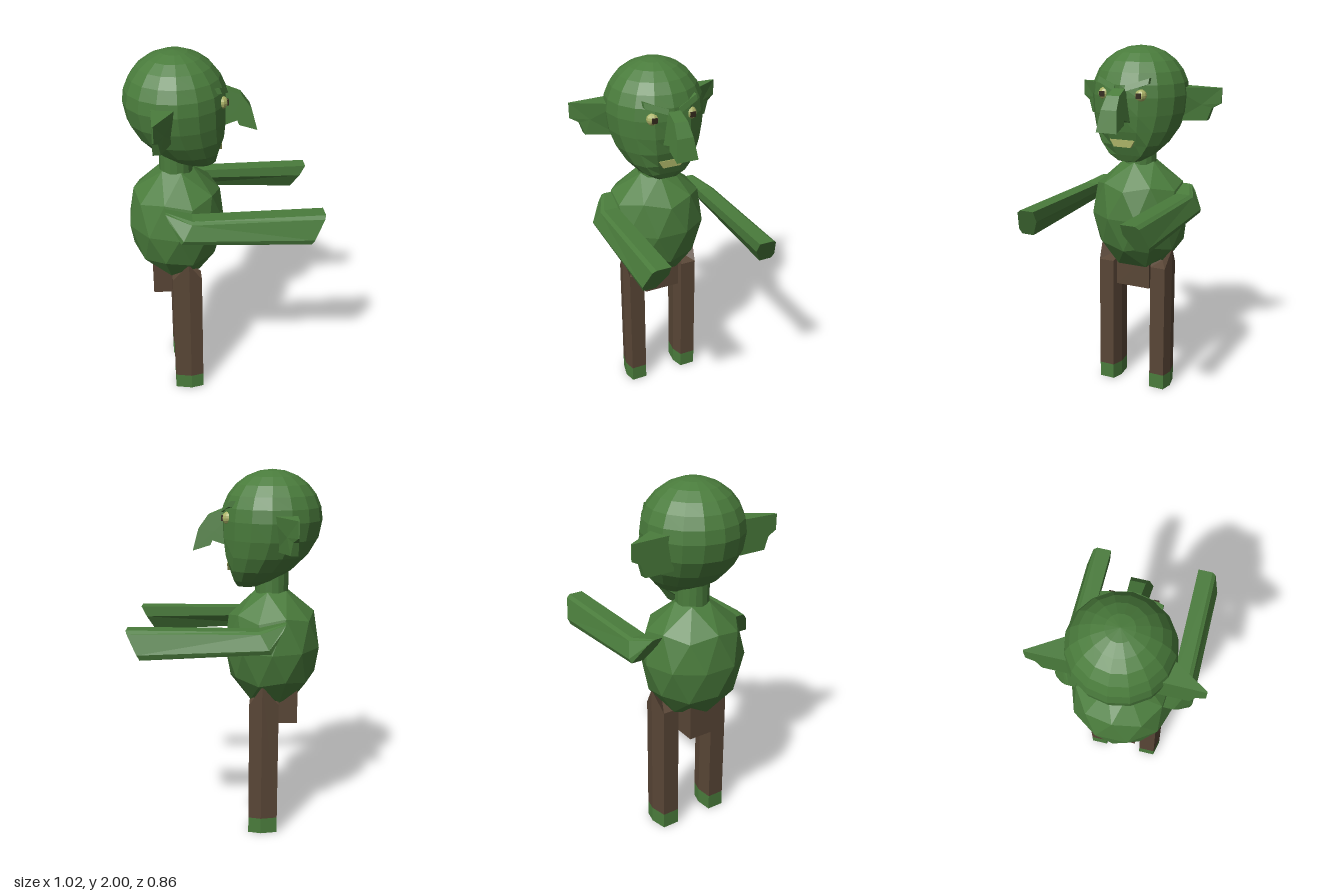
import * as THREE from 'three';

const paint = (color) => new THREE.MeshStandardMaterial({ color, flatShading: true });
const green = paint(0x4a7c3c), brown = paint(0x594636), yellow = paint(0xaab266), dark = paint(0x33291c);

// Closed solid through matching loops of points, capped at both ends, facing outward
function loft(loops) {
  const tris = [], n = loops[0].length;
  for (let k = 0; k < loops.length - 1; k++)
    for (let i = 0; i < n; i++) {
      const j = (i + 1) % n, [a, b, c, d] = [loops[k][i], loops[k][j], loops[k + 1][j], loops[k + 1][i]];
      tris.push([a, b, c], [a, c, d]);
    }
  const mid = (loop) => [0, 1, 2].map((c) => loop.reduce((s, p) => s + p[c], 0) / n);
  const first = loops[0], last = loops[loops.length - 1];
  const m0 = mid(first), m1 = mid(last);
  for (let i = 0; i < n; i++) {
    const j = (i + 1) % n;
    tris.push([m0, first[j], first[i]], [m1, last[i], last[j]]);
  }
  const o = new THREE.Vector3(...m0);
  let volume = 0;
  for (const t of tris) {
    const [a, b, c] = t.map((p) => new THREE.Vector3(...p).sub(o));
    volume += a.dot(b.cross(c));
  }
  if (volume < 0) tris.forEach((t) => t.reverse());
  const geo = new THREE.BufferGeometry();
  geo.setAttribute('position', new THREE.Float32BufferAttribute(tris.flat(2), 3));
  geo.computeVertexNormals();
  return geo;
}

// Move every vertex by a rule
function warp(geo, rule) {
  const p = geo.attributes.position, v = new THREE.Vector3();
  for (let i = 0; i < p.count; i++) {
    rule(v.fromBufferAttribute(p, i));
    p.setXYZ(i, v.x, v.y, v.z);
  }
  geo.computeVertexNormals();
  return geo;
}

export function createModel() {
  const model = new THREE.Group();
  const add = (name, geo, mat, x = 0, y = 0, z = 0) => {
    const mesh = new THREE.Mesh(geo, mat);
    mesh.name = name;
    mesh.position.set(x, y, z);
    model.add(mesh);
    return mesh;
  };

  // Head: round skull, jaw pulled down and forward, flattened face
  add('head', warp(new THREE.SphereGeometry(1, 16, 12), (v) => {
    const t = Math.max(0, -v.y);
    v.y = 1.74 + v.y * (v.y > 0 ? 0.26 : 0.37);
    v.x = Math.min(-0.24 + v.x * 0.27 + 0.14 * t * t, 0.025 - 0.09 * t * t);
    v.z *= 0.27;
  }), green);
  add('neck', new THREE.CylinderGeometry(0.09, 0.09, 0.2, 16), green, -0.245, 1.4, 0);

  // Body: faceted ball with flattened poles
  add('body', warp(new THREE.IcosahedronGeometry(1, 1).rotateZ(-0.5536), (v) => {
    const pinch = v.y > 0.7 ? 0.65 : 1;
    v.set(-0.25 + v.x * 0.268 * pinch, 1.055 + THREE.MathUtils.clamp(v.y * 0.355, -0.302, 0.302), v.z * 0.285 * pinch);
  }), green);

  // Hooked nose, wider towards the tip
  const noseProfile = [[-0.05, 1.79], [0.03, 1.79], [0.1, 1.76], [0.15, 1.69], [0.18, 1.575], [0.085, 1.605], [0.075, 1.63], [-0.05, 1.59]];
  add('nose', loft([-1, 1].map((s) => noseProfile.map(([x, y]) =>
    [x, y, s * (0.035 + 0.025 * (1.78 - y) / 0.2)]))), green);

  add('mouth', loft([-0.07, -0.005].map((x) =>
    [[1.51, -0.075], [1.51, 0.075], [1.47, 0.05], [1.47, -0.05]].map(([y, z]) => [x, y, z]))), yellow);

  // Pelvis between the legs
  add('pelvis', new THREE.BoxGeometry(0.25, 0.2, 0.21), brown, -0.27, 0.72, 0);

  for (const s of [1, -1]) {
    const side = s > 0 ? 'right' : 'left';
    const eyeSide = `${side}`;

    // Eye, pupil and slanted brow
    add(`${eyeSide}Eye`, new THREE.SphereGeometry(0.034, 10, 8), yellow, -0.012, 1.755, s * 0.108);
    add(`${eyeSide}Pupil`, new THREE.BoxGeometry(0.01, 0.028, 0.028), dark, 0.019, 1.755, s * 0.108);
    add(`${eyeSide}Brow`, loft([[0.03, 1.775, 0.02], [0.15, 1.815, -0.025]].map(([z, y, x]) =>
      [[x - 0.05, y], [x + 0.012, y], [x, y + 0.03], [x - 0.05, y + 0.03]].map(([px, py]) => [px, py, s * z]))), green);

    // Ear: flat at the back, tapering to the tip
    const earOutline = [[0.2, 1.78], [0.432, 1.775], [0.432, 1.69], [0.385, 1.665], [0.36, 1.595], [0.2, 1.595]];
    add(`${side}Ear`, loft([
      earOutline.map(([z, y]) => [-0.37, y, s * z]),
      earOutline.map(([z, y]) => [-0.363 + (0.432 - z) * (y < 1.68 ? 0.45 : 0.62), y, s * z]),
    ]), green);

    // Arm stretched forward, with slanted ends and a pointed shoulder
    const section = [[0.25, 1.2], [0.33, 1.2], [0.35, 1.185], [0.38, 1.08], [0.37, 1.05], [0.3, 1.05], [0.25, 1.14]];
    add(`${side}Arm`, loft([
      section.map(([z, y]) => [-0.32 + (1.2 - y) * 0.15, 1.23 - (1.2 - y) * 0.3, s * (0.2 + (z - 0.25) * 0.9)]),
      section.map(([z, y]) => [-0.18 - (1.2 - y) * 0.43, 1.2 - (1.2 - y) * 0.73, s * z]),
      section.map(([z, y]) => [0.51 - (1.2 - y) * 0.5, y, s * z]),
    ]), green);

    // Leg with a peaked hip, and foot
    const legSection = [[-0.29, 0.205], [-0.2, 0.225], [-0.13, 0.21], [-0.13, 0.12], [-0.2, 0.1], [-0.29, 0.11]];
    const ring = (height) => legSection.map(([x, z], i) => [x, height(i), s * z]);
    add(`${side}Leg`, loft([ring(() => 0.09), ring((i) => (i === 1 ? 0.87 : i === 4 ? 0.8 : 0.76))]), brown);
    add(`${side}Foot`, loft([ring(() => 0), ring(() => 0.09)]), green);
  }
  return model;
}
